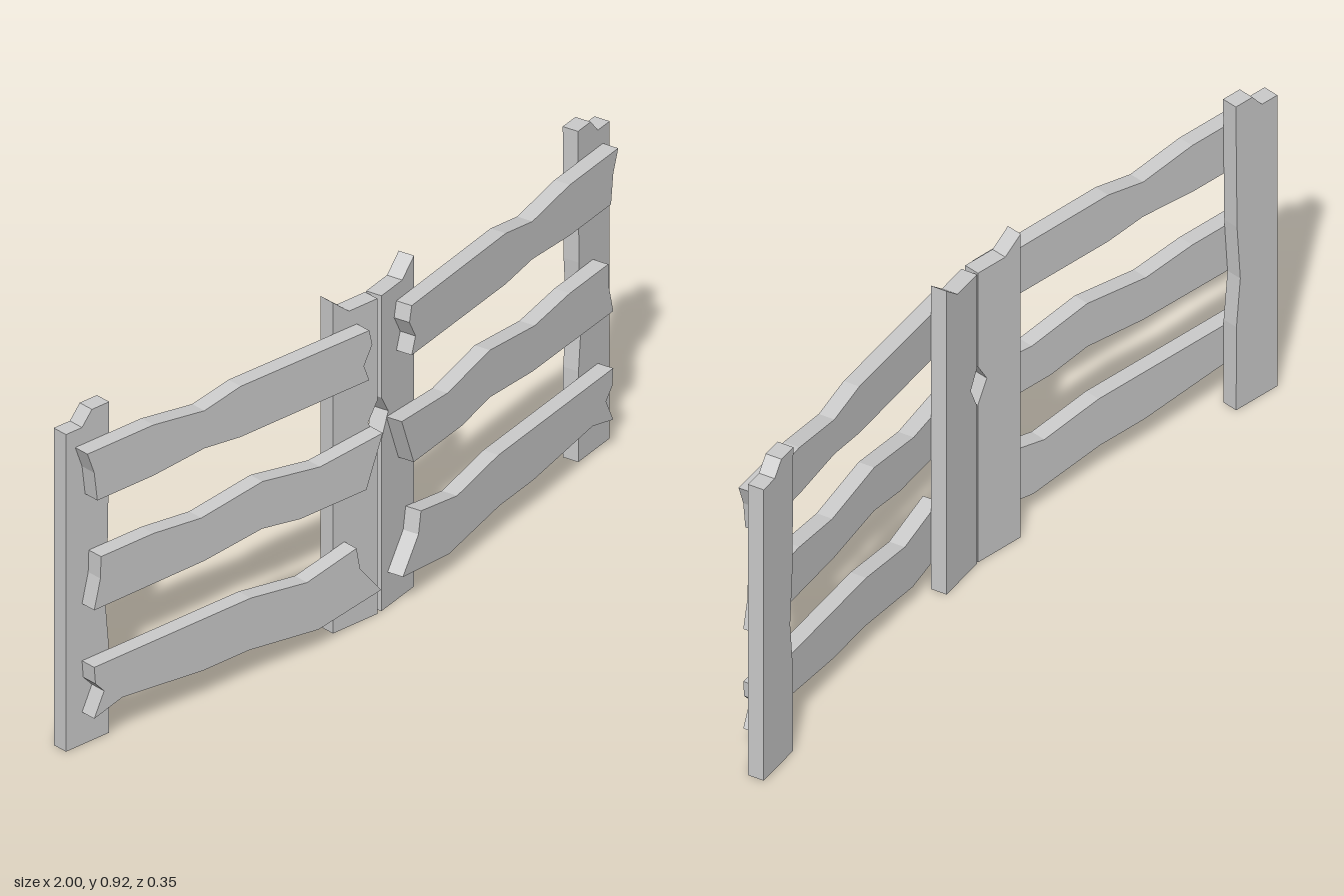
import * as THREE from 'three';

const material = new THREE.MeshStandardMaterial({ color: 0xcccccc, flatShading: true });
const THICK = 0.044;

// Outlines as [distance from the gate's middle edge, height]
const POSTS = {
  outerPost: [
    [1.009, 0], [0.87, 0], [0.871, 0.25], [0.884, 0.39], [0.873, 0.55], [0.869, 0.915],
    [0.925, 0.915], [0.957, 0.877], [1.009, 0.877],
  ],
  innerPost: [
    [0.144, 0], [0, 0], [0, 0.475], [0.03, 0.54], [0, 0.59], [0, 0.872],
    [0.092, 0.872], [0.144, 0.915],
  ],
};
const RAILS = {
  topRail: [
    [0.979, 0.83], [0.765, 0.83], [0.6, 0.807], [0.482, 0.83], [0.066, 0.827],
    [0.056, 0.785], [0.083, 0.735], [0.066, 0.69],
    [0.482, 0.69], [0.6, 0.703], [0.765, 0.69], [0.947, 0.69], [0.957, 0.77],
  ],
  middleRail: [
    [0.935, 0.53], [0.765, 0.53], [0.61, 0.514], [0.412, 0.54], [0.225, 0.51],
    [0.022, 0.527], [0.075, 0.39],
    [0.29, 0.39], [0.412, 0.41], [0.6, 0.392], [0.957, 0.39], [0.937, 0.47],
  ],
  bottomRail: [
    [0.957, 0.232], [0.45, 0.232], [0.267, 0.206], [0.107, 0.24], [0.096, 0.18],
    [0.027, 0.095], [0.23, 0.062], [0.455, 0.09], [0.604, 0.09], [0.866, 0.115],
    [0.957, 0.09], [0.925, 0.155], [0.953, 0.185],
  ],
};

// Flat board cut from an outline
function board(name, outline, side, z) {
  const shape = new THREE.Shape(outline.map(([u, y]) => new THREE.Vector2(side * u, y)));
  const geometry = new THREE.ExtrudeGeometry(shape, { depth: THICK, bevelEnabled: false });
  const mesh = new THREE.Mesh(geometry, material);
  mesh.name = name;
  mesh.position.z = z;
  return mesh;
}

// One gate leaf: two posts with three rails in front of them
function leaf(name, side) {
  const group = new THREE.Group();
  group.name = name;
  for (const [part, outline] of Object.entries(POSTS)) group.add(board(part, outline, side, 0));
  for (const [part, outline] of Object.entries(RAILS)) group.add(board(part, outline, side, THICK));
  return group;
}

export function createModel() {
  const model = new THREE.Group();
  model.name = 'woodenGate';

  const right = leaf('rightLeaf', -1);
  right.position.set(0.009, 0, 0.089);

  // Left leaf is mirrored and swung backwards
  const left = leaf('leftLeaf', 1);
  left.position.set(0.014, 0, 0.087);
  left.rotation.y = THREE.MathUtils.degToRad(15);

  model.add(right, left);
  return model;
}
